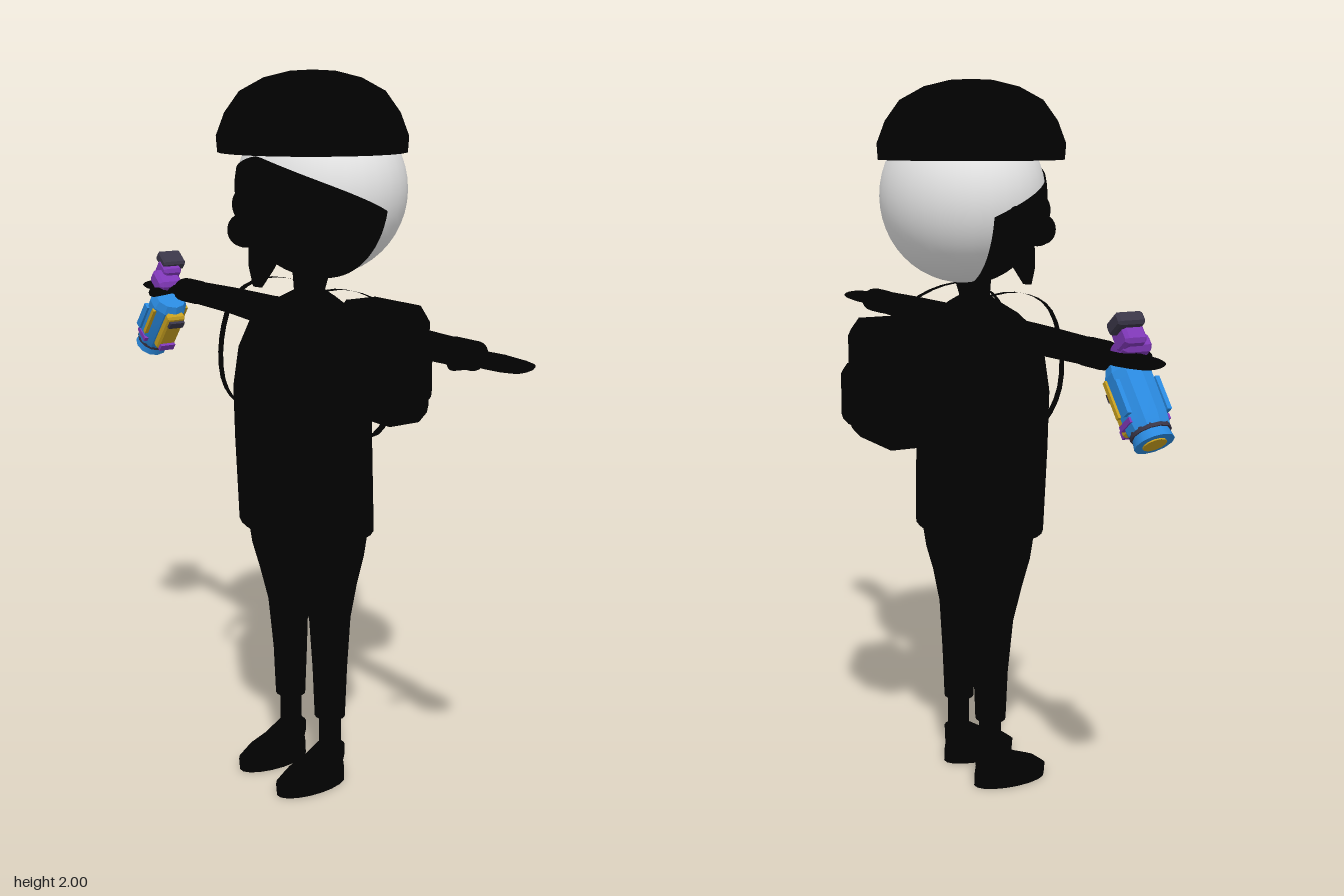
import * as THREE from 'three';
import { toCreasedNormals } from 'three/addons/utils/BufferGeometryUtils.js';

const mat = (name, color, side = THREE.FrontSide) =>
  Object.assign(new THREE.MeshStandardMaterial({ color, side }), { name });

// Closed skin over elliptical rings [y, centreX, centreZ, radiusX, radiusZ]
function loft(rings, n = 18, crease = 0.7) {
  const pos = [], idx = [];
  rings.forEach(([y, cx, cz, rx, rz]) => {
    for (let i = 0; i < n; i++) {
      const a = (i / n) * Math.PI * 2;
      pos.push(cx + rx * Math.cos(a), y, cz + rz * Math.sin(a));
    }
  });
  const last = rings.length - 1, c0 = rings.length * n, c1 = c0 + 1;
  for (const r of [rings[0], rings[last]]) pos.push(r[1], r[0], r[2]);
  for (let i = 0; i < n; i++) {
    const j = (i + 1) % n;
    for (let k = 0; k < last; k++) {
      const a = k * n + i, b = k * n + j;
      idx.push(a, a + n, b, b, a + n, b + n);
    }
    idx.push(c0, i, j, c1, last * n + j, last * n + i);
  }
  const g = new THREE.BufferGeometry();
  g.setAttribute('position', new THREE.Float32BufferAttribute(pos, 3));
  g.setIndex(idx);
  return toCreasedNormals(g, crease);
}

// Box with chamfered edges, centred on the origin
function chamferBox(w, h, d, b) {
  const x = w / 2 - b, y = h / 2 - b, c = b * 0.6;
  const s = new THREE.Shape([
    [x - c, -y], [x, c - y], [x, y - c], [x - c, y], [c - x, y], [-x, y - c], [-x, c - y], [c - x, -y],
  ].map(p => new THREE.Vector2(...p)));
  const g = new THREE.ExtrudeGeometry(s, { depth: d - 2 * b, bevelThickness: b, bevelSize: b, bevelSegments: 1 });
  return g.translate(0, 0, -(d - 2 * b) / 2);
}

// Flat band of constant width following a curve
function ribbon(points, width) {
  const n = 28, g = new THREE.PlaneGeometry(1, 1, 1, n), p = g.attributes.position;
  const curve = new THREE.CatmullRomCurve3(points.map(q => new THREE.Vector3(...q)));
  for (let i = 0; i <= n; i++) {
    const c = curve.getPoint(i / n);
    p.setXYZ(2 * i, c.x - width / 2, c.y, c.z);
    p.setXYZ(2 * i + 1, c.x + width / 2, c.y, c.z);
  }
  g.computeVertexNormals();
  return g;
}

export function createModel() {
  const black = mat('black', 0x010101, THREE.DoubleSide);
  const white = mat('white', 0xffffff);
  const blue = mat('blue', 0x2a8ae0);
  const yellow = mat('yellow', 0xc8a020);
  const purple = mat('purple', 0x8038b8);
  const grey = mat('darkGrey', 0x3a3648);

  const model = new THREE.Group();
  model.name = 'figure';
  const add = (parent, name, geo, material, x = 0, y = 0, z = 0) => {
    const m = new THREE.Mesh(geo, material);
    m.name = name;
    m.position.set(x, y, z);
    parent.add(m);
    return m;
  };
  const ball = (rx, ry, rz) => new THREE.SphereGeometry(1, 20, 14).scale(rx, ry, rz);

  // Head: pale skull with a dark face wrapped round its front
  const head = new THREE.Group();
  head.name = 'head';
  head.position.set(0, 1.69, 0.02);
  model.add(head);
  add(head, 'skull', new THREE.SphereGeometry(1, 32, 24).scale(0.253, 0.235, 0.22), white);
  const face = new THREE.PlaneGeometry(2, 1, 36, 16), fp = face.attributes.position;
  for (let i = 0; i < fp.count; i++) {
    const u = fp.getX(i), v = fp.getY(i) + 0.5;
    const top = Math.asin((0.09 - 0.135 * Math.abs(u) ** 1.3) / 0.24);
    const lat = -Math.PI / 2 + v * (top + Math.PI / 2), a = u * 1.72;
    fp.setXYZ(i, 0.257 * Math.cos(lat) * Math.sin(a), 0.242 * Math.sin(lat), 0.225 * Math.cos(lat) * Math.cos(a));
  }
  face.computeVertexNormals();
  add(head, 'face', face, black);
  for (const s of [-1, 1]) {
    add(head, 'ear', ball(0.035, 0.048, 0.03), black, s * 0.243, -0.065, 0.03);
    add(head, 'eye', ball(0.042, 0.042, 0.02), black, s * 0.07, -0.04, 0.208);
  }
  add(head, 'nose', ball(0.035, 0.045, 0.05), black, 0, -0.1, 0.24);
  add(head, 'noseTip', ball(0.04, 0.042, 0.035), black, 0, -0.098, 0.257);
  add(head, 'chin', loft([[-0.25, 0, 0.208, 0.02, 0.008], [-0.2, 0, 0.195, 0.05, 0.025],
    [-0.15, 0, 0.18, 0.06, 0.04], [-0.1, 0, 0.18, 0.04, 0.03]]), black);

  // Domed cap
  const cap = [[0, 1.795], [0.235, 1.795], [0.255, 1.787], [0.258, 1.83], [0.235, 1.89],
    [0.195, 1.945], [0.13, 1.98], [0.06, 1.997], [0, 2]].map(p => new THREE.Vector2(...p));
  add(model, 'cap', toCreasedNormals(new THREE.LatheGeometry(cap, 24), 0.7), black, 0, 0, 0.048);

  // Neck, long shirt and trouser seat
  add(model, 'neck', loft([[1.36, 0, 0.06, 0.055, 0.05], [1.42, 0, 0.06, 0.045, 0.042], [1.5, 0, 0.05, 0.05, 0.06]]), black);
  add(model, 'shirt', loft([[0.76, 0, 0.075, 0.23, 0.167], [1, 0, 0.083, 0.215, 0.178],
    [1.15, 0, 0.086, 0.202, 0.185], [1.26, 0, 0.082, 0.19, 0.172], [1.33, 0, 0.075, 0.175, 0.142],
    [1.37, 0, 0.067, 0.145, 0.105], [1.4, 0, 0.06, 0.085, 0.065], [1.415, 0, 0.06, 0.05, 0.045]], 28), black);
  add(model, 'trouserSeat', loft([[0.6, 0, 0.068, 0.05, 0.08], [0.65, 0, 0.07, 0.13, 0.1],
    [0.76, 0, 0.072, 0.195, 0.13], [0.82, 0, 0.075, 0.2, 0.135]], 24), black);

  // Limbs, modelled on the left and mirrored
  for (const s of [1, -1]) {
    const side = new THREE.Group();
    side.name = s > 0 ? 'leftLimbs' : 'rightLimbs';
    side.scale.x = s;
    model.add(side);
    add(side, 'trouserLeg', loft([[0.205, 0.1, 0.063, 0.045, 0.043], [0.35, 0.1, 0.063, 0.05, 0.049],
      [0.5, 0.104, 0.066, 0.055, 0.06], [0.6, 0.097, 0.069, 0.079, 0.085],
      [0.68, 0.096, 0.07, 0.09, 0.11], [0.78, 0.1, 0.07, 0.095, 0.125]]), black);
    add(side, 'ankle', loft([[0.07, 0.1, 0.062, 0.033, 0.032], [0.24, 0.1, 0.062, 0.032, 0.031]]), black);
    add(side, 'shoe', loft([[0, 0.098, 0.128, 0.053, 0.113], [0.035, 0.098, 0.13, 0.053, 0.114],
      [0.06, 0.098, 0.115, 0.05, 0.095], [0.08, 0.098, 0.085, 0.046, 0.068],
      [0.11, 0.098, 0.06, 0.04, 0.042]]), black);
    const along = rings => loft(rings).rotateZ(-Math.PI / 2);
    add(side, 'sleeve', along([[0.1, 0.015, 0.06, 0.06, 0.055], [0.2, 0.005, 0.058, 0.045, 0.045],
      [0.4, 0, 0.056, 0.039, 0.038], [0.62, 0, 0.056, 0.034, 0.036]]), black, 0, 1.338);
    add(side, 'cuff', along([[0.6, 0, 0.056, 0.036, 0.043], [0.68, 0, 0.056, 0.036, 0.043]]), black, 0, 1.338);
    add(side, 'hand', along([[0.66, 0, 0.056, 0.02, 0.028], [0.71, 0, 0.062, 0.017, 0.04],
      [0.76, 0, 0.066, 0.017, 0.053], [0.82, 0, 0.068, 0.014, 0.054],
      [0.855, 0, 0.067, 0.012, 0.043], [0.873, 0, 0.067, 0.005, 0.02]]), black, 0, 1.338);
    const thumb = add(side, 'thumb', new THREE.CapsuleGeometry(0.014, 0.065, 4, 10), black, 0.72, 1.333, 0.12);
    thumb.rotation.set(Math.PI / 2, 0, 0.2);
    add(side, 'packStrap', ribbon([[0.13, 1.34, -0.14], [0.145, 1.415, -0.02], [0.152, 1.437, 0.11],
      [0.152, 1.395, 0.205], [0.152, 1.28, 0.25], [0.165, 1.15, 0.235], [0.2, 1.06, 0.14],
      [0.205, 1.04, 0], [0.12, 1.07, -0.13]], 0.026), black);
  }

  // Backpack with an outer pocket
  add(model, 'backpack', chamferBox(0.28, 0.335, 0.165, 0.03), black, 0, 1.192, -0.193);
  add(model, 'backpackPocket', chamferBox(0.2, 0.17, 0.06, 0.018), black, 0, 1.155, -0.28);

  // Toy blaster held in the right hand
  const toy = new THREE.Group();
  toy.name = 'toyBlaster';
  toy.position.set(-0.765, 1.24, 0.095);
  toy.rotation.z = -0.68;
  model.add(toy);
  add(toy, 'body', loft([[-0.085, 0, 0, 0.052, 0.052], [-0.06, 0, 0, 0.056, 0.056],
    [0.07, 0, 0, 0.058, 0.058], [0.095, 0, 0, 0.045, 0.048]], 10, 0.3), blue);
  add(toy, 'muzzle', new THREE.CylinderGeometry(0.044, 0.05, 0.035, 12), blue, 0, -0.1, 0);
  add(toy, 'muzzleRing', new THREE.CylinderGeometry(0.051, 0.051, 0.012, 12), grey, 0, -0.088, 0);
  add(toy, 'muzzleCore', new THREE.CylinderGeometry(0.03, 0.03, 0.008, 12), yellow, 0, -0.117, 0);
  add(toy, 'sideRail', chamferBox(0.03, 0.14, 0.06, 0.006), yellow, 0.056, 0.005, 0);
  for (const s of [-1, 1]) {
    add(toy, 'panel', new THREE.BoxGeometry(0.022, 0.09, 0.012), blue, -0.02, 0, s * 0.056);
    add(toy, 'stripe', new THREE.BoxGeometry(0.012, 0.1, 0.012), yellow, 0.018, 0.015, s * 0.055);
    add(toy, 'trim', new THREE.BoxGeometry(0.05, 0.014, 0.014), purple, 0.005, -0.058, s * 0.05);
    add(toy, 'knob', new THREE.BoxGeometry(0.02, 0.022, 0.05), s > 0 ? grey : purple, 0.07, s * 0.05, 0);
  }
  add(toy, 'collar', chamferBox(0.075, 0.05, 0.08, 0.01), purple, -0.055, 0.11, -0.005);
  add(toy, 'grip', chamferBox(0.06, 0.06, 0.06, 0.008), purple, -0.085, 0.125, -0.02);
  add(toy, 'gripCap', chamferBox(0.06, 0.035, 0.075, 0.006), grey, -0.105, 0.15, -0.03);

  return model;
}
